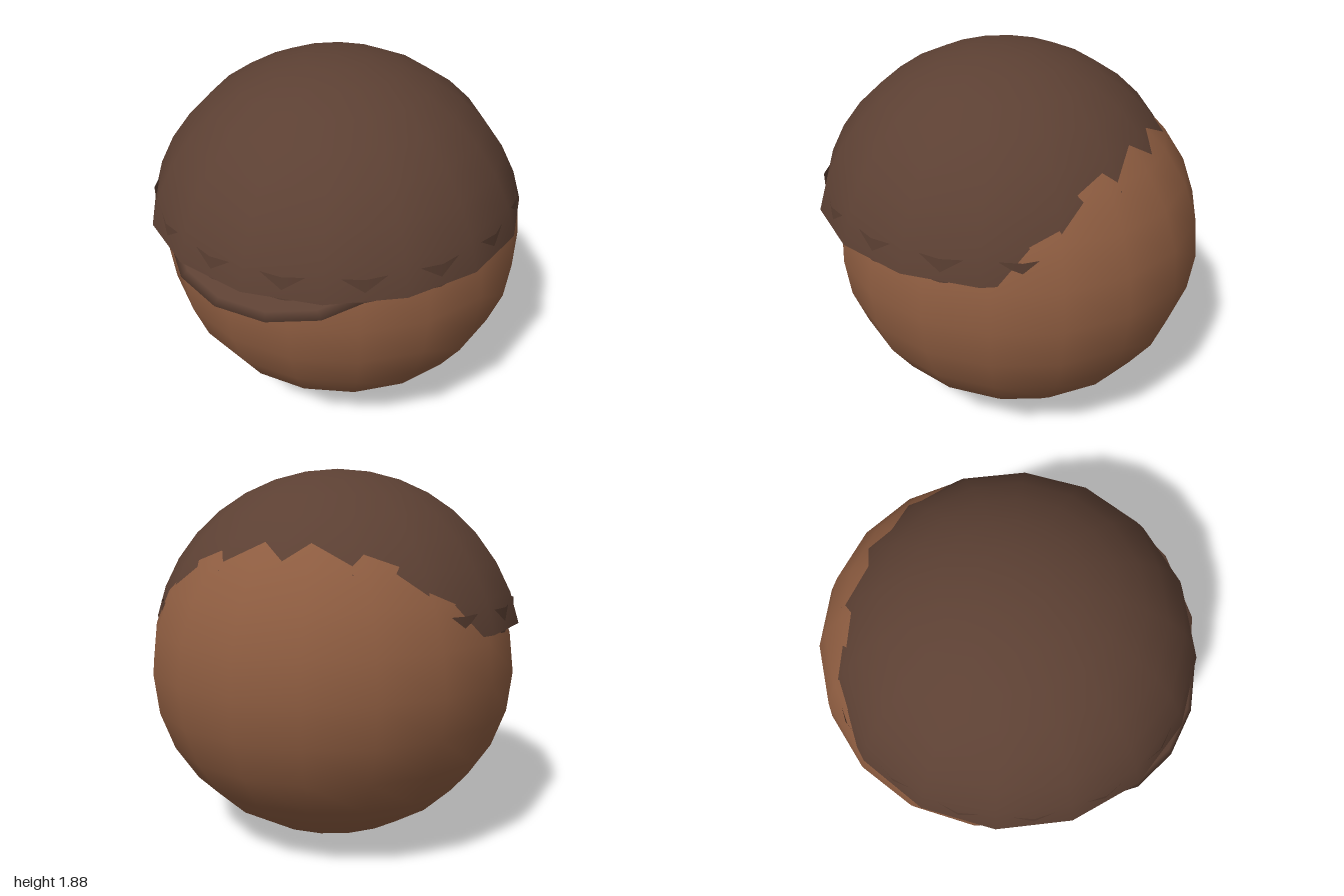
import * as THREE from 'three';

const skin = new THREE.MeshStandardMaterial({ color: 0x8d5c40 });
const capBrown = new THREE.MeshStandardMaterial({ color: 0x5c4033, side: THREE.DoubleSide });

function part(name, geometry, material, position, scale = [1, 1, 1]) {
  const mesh = new THREE.Mesh(geometry, material);
  mesh.name = name;
  mesh.position.set(...position);
  mesh.scale.set(...scale);
  return mesh;
}

export function createModel() {
  const model = new THREE.Group();
  model.name = 'cappedHead';

  // Slightly squashed ball of a head
  model.add(part('head', new THREE.SphereGeometry(0.94, 18, 14), skin, [0, 0.9, -0.07], [1, 0.953, 1]));

  // Open dome, set forward so the head pokes out behind it
  const dome = new THREE.SphereGeometry(0.97, 16, 8, 0, Math.PI * 2, 0, 1.364);
  model.add(part('capDome', dome, capBrown, [0, 0.935, 0.02], [1, 0.98, 1]));

  // Straight band under the dome's rim, its corners between the dome's
  const band = new THREE.CylinderGeometry(0.92, 0.92, 0.122, 16, 1, true);
  band.rotateY(Math.PI / 16);
  model.add(part('capBand', band, capBrown, [0, 1.174, 0.02]));

  // Flattened visor, tipped down at the front
  const visor = part('visor', new THREE.SphereGeometry(1, 14, 8), capBrown, [0, 1.18, 0.57], [0.58, 0.07, 0.46]);
  visor.rotation.x = 0.36;
  model.add(visor);

  return model;
}
